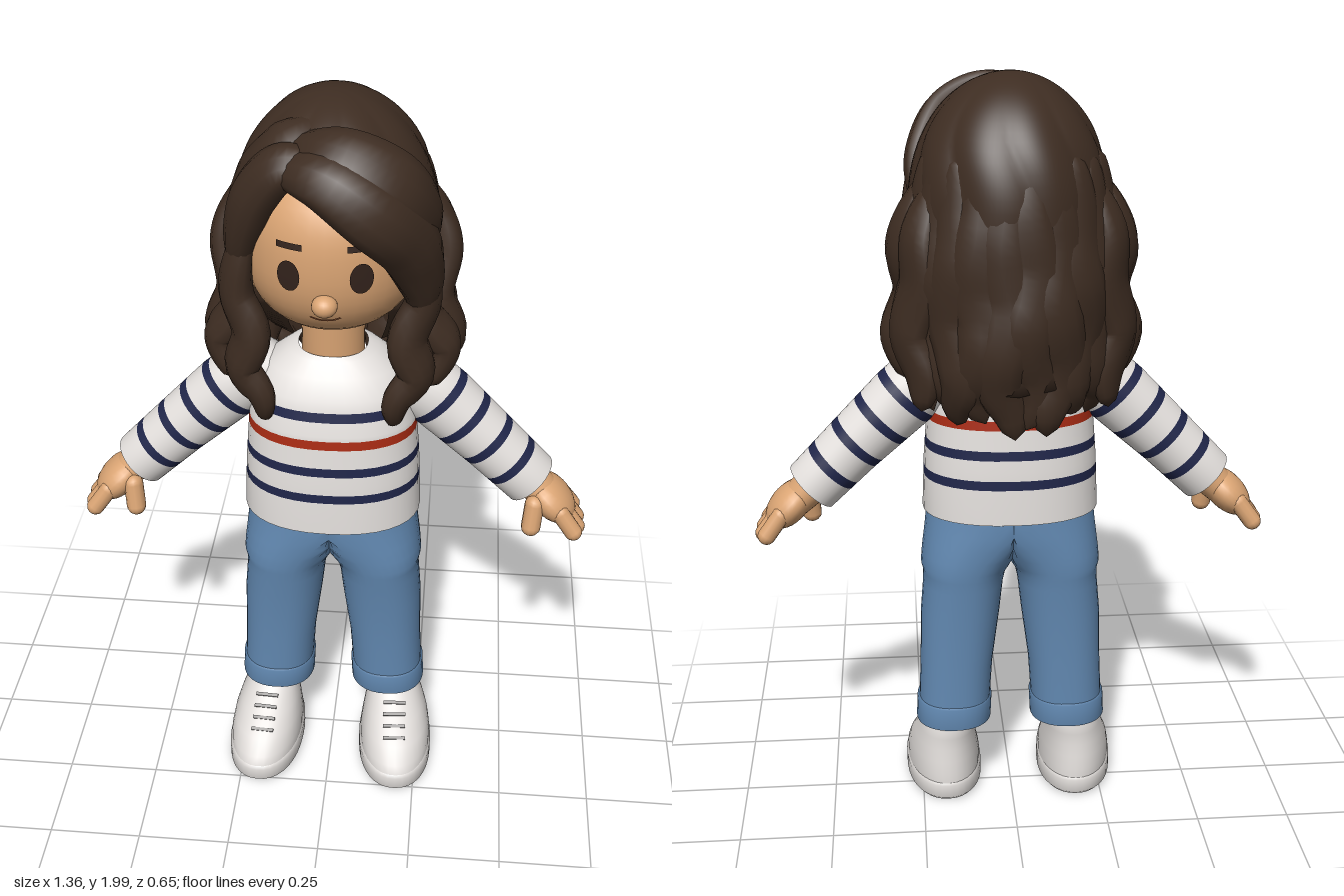
import * as THREE from 'three';

const material = (name, color) => {
  const m = new THREE.MeshStandardMaterial({ color });
  m.name = name;
  return m;
};
const V = (x, y, z) => new THREE.Vector3(x, y, z);

// Skin closed rings of points (counter-clockwise around the direction of travel)
function skin(rings, pick = () => 0) {
  const n = rings[0].length, pos = [], idx = [];
  const geo = new THREE.BufferGeometry();
  rings.forEach(r => r.forEach(p => pos.push(p.x, p.y, p.z)));
  for (let i = 0; i < rings.length - 1; i++) {
    geo.addGroup(idx.length, n * 6, pick(i));
    for (let j = 0; j < n; j++) {
      const a = i * n + j, b = i * n + (j + 1) % n;
      idx.push(a, b, a + n, b, b + n, a + n);
    }
  }
  geo.setAttribute('position', new THREE.Float32BufferAttribute(pos, 3));
  geo.setIndex(idx);
  geo.computeVertexNormals();
  return geo;
}

// Rounded horizontal sections [y, cx, cz, rx, rz], bottom to top; minX cuts them flat at a plane
function stack(sections, pick, power = 1, minX = -Infinity) {
  const n = 36, c = v => Math.sign(v) * Math.abs(v) ** power;
  return skin(sections.map(([y, cx, cz, rx, rz]) => Array.from({ length: n }, (_, j) => {
    const a = j / n * Math.PI * 2;
    return V(Math.max(minX, cx + rx * c(Math.cos(a))), y, cz - rz * c(Math.sin(a)));
  })), pick);
}

// Cut a section list at stripe edges; stripes are [middle y, material index]
function striped(sections, stripes, half, power) {
  const cuts = stripes.flatMap(([y]) => [y - half, y + half]);
  const rows = [...sections];
  for (const y of cuts) {
    const i = sections.findIndex(s => s[0] > y);
    const a = sections[i - 1], b = sections[i], t = (y - a[0]) / (b[0] - a[0]);
    rows.push(a.map((v, k) => v + (b[k] - v) * t));
  }
  rows.sort((a, b) => a[0] - b[0]);
  return stack(rows, i => {
    const mid = (rows[i][0] + rows[i + 1][0]) / 2;
    const hit = stripes.find(([y]) => Math.abs(mid - y) < half);
    return hit ? hit[1] : 0;
  }, power);
}

// Tapered strand following a smooth path, flattened against the head
function lock(points, w, h) {
  const curve = new THREE.CatmullRomCurve3(points.map(p => V(...p)));
  const steps = 28, n = 12, rings = [];
  for (let i = 0; i <= steps; i++) {
    const t = i / steps, c = curve.getPoint(t), tan = curve.getTangent(t);
    const out = V(c.x, Math.max(0, c.y - 1.66), c.z);
    out.addScaledVector(tan, -out.dot(tan)).normalize();
    const u = out.clone().cross(tan);
    const e = Math.max(0, Math.sin(Math.PI * t)) ** 0.42;
    rings.push(Array.from({ length: n }, (_, j) => {
      const a = j / n * Math.PI * 2;
      return c.clone().addScaledVector(u, w * e * Math.cos(a)).addScaledVector(out, h * e * Math.sin(a));
    }));
  }
  return skin(rings);
}

// Head profile, shared with the facial details laid on it
const headR = y => Math.max(0, 1 - Math.abs((y - 1.645) / 0.225) ** 2.4) ** (1 / 2.4);
const faceZ = (x, y) => 0.02 + 0.22 * Math.sqrt(Math.max(0, headR(y) ** 2 - (x / 0.22) ** 2));
function decal(geo, x, y) {
  geo.translate(x, y, 0);
  const p = geo.attributes.position;
  for (let i = 0; i < p.count; i++) p.setZ(i, faceZ(p.getX(i), p.getY(i)) + 0.004);
  geo.computeVertexNormals();
  return geo;
}

export function createModel() {
  const skinMat = material('skin', 0xdba574), hairMat = material('hair', 0x3e2d22);
  const knit = material('sweater white', 0xe6e2df), navy = material('navy stripe', 0x20264a);
  const red = material('red stripe', 0xab2c14), denim = material('denim', 0x638ab3);
  const shoeMat = material('shoe white', 0xdedad7), dark = material('eye brown', 0x33231c);
  const lip = material('lip', 0x8a4f30), grey = material('lace grey', 0x8b8886);

  const model = new THREE.Group();
  const add = (name, geo, mat, parent = model) => {
    const m = new THREE.Mesh(geo, mat);
    m.name = name;
    parent.add(m);
    return m;
  };
  const ball = (name, mat, p, s, parent) => {
    const m = add(name, new THREE.SphereGeometry(1, 24, 16), mat, parent);
    m.position.set(...p);
    m.scale.set(...s);
    return m;
  };

  // Sweater body and neck
  add('sweaterBody', striped([
    [0.855, 0, 0.015, 0.001, 0.001], [0.855, 0, 0.015, 0.232, 0.17], [0.856, 0, 0.015, 0.235, 0.172],
    [1.0, 0, 0.015, 0.229, 0.168], [1.15, 0, 0.015, 0.217, 0.158], [1.24, 0, 0.01, 0.2, 0.142],
    [1.29, 0, 0.005, 0.165, 0.122], [1.325, 0, 0, 0.115, 0.098], [1.335, 0, 0, 0.088, 0.086],
  ], [[0.965, 1], [1.045, 1], [1.125, 2], [1.2, 1]], 0.0125, 0.88), [knit, navy, red]);
  add('neck', stack([[1.27, 0, 0, 0.08, 0.08], [1.48, 0, 0.01, 0.08, 0.08]]), skinMat);

  for (const side of [1, -1]) {
    const half = new THREE.Group();
    half.name = side > 0 ? 'leftLimbs' : 'rightLimbs';
    half.scale.x = side;
    model.add(half);

    // Trouser half, cut at the middle so both halves join at the seat, with a turned-up cuff
    add('trouserLeg', stack([
      [0.225, 0.16, 0, 0.098, 0.098], [0.4, 0.15, 0.003, 0.1, 0.103], [0.55, 0.138, 0.007, 0.108, 0.116],
      [0.64, 0.129, 0.01, 0.109, 0.127], [0.675, 0.125, 0.011, 0.113, 0.132], [0.695, 0.121, 0.011, 0.122, 0.135],
      [0.73, 0.105, 0.011, 0.135, 0.138], [0.77, 0.075, 0.011, 0.16, 0.141], [0.81, 0.035, 0.011, 0.195, 0.145],
      [0.85, 0.005, 0.012, 0.221, 0.147], [0.875, 0, 0.012, 0.224, 0.147],
    ], undefined, 0.88, 0), denim, half);
    add('trouserCuff', stack([
      [0.24, 0.16, 0, 0.06, 0.06], [0.22, 0.16, 0, 0.095, 0.095], [0.222, 0.16, 0, 0.104, 0.104],
      [0.285, 0.157, 0.001, 0.104, 0.106], [0.29, 0.157, 0.001, 0.096, 0.098],
    ], undefined, 0.9), denim, half);
    add('ankle', stack([[0.14, 0.17, -0.01, 0.06, 0.065], [0.25, 0.165, -0.005, 0.062, 0.065]]), skinMat, half);

    // Shoe
    const shoe = new THREE.Group();
    shoe.name = 'shoe';
    shoe.position.x = 0.184;
    shoe.rotation.y = 0.06;
    half.add(shoe);
    add('sole', stack([
      [0, 0, 0.08, 0.001, 0.001], [0, 0, 0.08, 0.095, 0.178], [0, 0, 0.08, 0.095, 0.178],
      [0.012, 0, 0.08, 0.105, 0.19], [0.048, 0, 0.08, 0.105, 0.19], [0.055, 0, 0.08, 0.098, 0.182],
    ], undefined, 0.9), shoeMat, shoe);
    add('upper', stack([
      [0.05, 0, 0.08, 0.101, 0.184], [0.08, 0, 0.075, 0.101, 0.177], [0.115, 0, 0.058, 0.095, 0.153],
      [0.15, -0.002, 0.032, 0.085, 0.122], [0.182, -0.005, 0.007, 0.074, 0.093], [0.21, -0.008, -0.01, 0.066, 0.079],
      [0.213, -0.008, -0.01, 0.058, 0.07], [0.17, -0.008, -0.01, 0.05, 0.055],
    ], undefined, 0.94), shoeMat, shoe);
    for (let i = 0; i < 4; i++) {
      const lace = add('lace', new THREE.BoxGeometry(0.064, 0.007, 0.009), grey, shoe);
      lace.position.set(-0.004, 0.185 - i * 0.0185, 0.1 + i * 0.029);
      lace.rotation.x = 0.6;
    }

    // Arm: the sleeve hangs along -y of a tilted group
    const arm = new THREE.Group();
    arm.name = 'arm';
    arm.position.set(0.2, 1.255, -0.015);
    arm.rotation.z = Math.PI / 4;
    half.add(arm);
    add('sleeve', striped([
      [-0.462, 0, 0, 0.05, 0.05], [-0.461, 0, 0, 0.07, 0.072], [-0.46, 0, 0, 0.076, 0.079], [-0.3, 0, 0, 0.081, 0.081],
      [-0.12, -0.004, 0, 0.09, 0.084], [0, -0.012, 0.005, 0.09, 0.088], [0.05, -0.03, 0.005, 0.065, 0.07],
      [0.075, -0.04, 0.005, 0.001, 0.001],
    ], [[-0.375, 1], [-0.285, 1], [-0.195, 1], [-0.105, 1]], 0.0125), [knit, navy], arm);

    // Hand
    add('wrist', stack([[-0.53, 0.002, 0.01, 0.044, 0.06], [-0.43, 0, 0, 0.05, 0.055]]), skinMat, arm);
    ball('palm', skinMat, [0.006, -0.54, 0.01], [0.048, 0.08, 0.08], arm);
    [-0.06, -0.018, 0.025, 0.064].forEach((z, i) => {
      const finger = add('finger', new THREE.CapsuleGeometry(0.024, 0.065, 6, 12), skinMat, arm);
      finger.position.set(0.008, -0.596 - (i === 1 || i === 2 ? 0.014 : 0), z + 0.008);
      finger.rotation.set(-z * 2, 0, -0.15);
    });
    const thumb = add('thumb', new THREE.CapsuleGeometry(0.026, 0.065, 6, 12), skinMat, arm);
    thumb.position.set(-0.045, -0.52, 0.07);
    thumb.rotation.set(-0.3, 0, -0.85);

    // Ear and earring
    ball('ear', skinMat, [0.228, 1.605, 0.045], [0.028, 0.068, 0.042], half);
    ball('earring', dark, [0.238, 1.545, 0.06], [0.011, 0.014, 0.011], half);

    // Eye and eyebrow
    add('eye', decal(new THREE.CircleGeometry(1, 28).scale(0.027, 0.039, 1), 0.085, 1.63), dark, half);
    add('eyebrow', decal(new THREE.PlaneGeometry(0.062, 0.015, 8, 1), 0.083, 1.705), dark, half);

    // Front and side strands
    [
      ['frontLock', 0.06, 0.045, [0.18, 1.75, 0.13], [0.215, 1.62, 0.125], [0.225, 1.52, 0.115], [0.19, 1.42, 0.13],
        [0.215, 1.32, 0.125], [0.17, 1.25, 0.14], [0.165, 1.165, 0.12]],
      ['lowerLock', 0.06, 0.045, [0.22, 1.52, 0.03], [0.235, 1.44, 0.05], [0.28, 1.36, 0.045], [0.25, 1.26, 0.08]],
      ['sideLock', 0.07, 0.05, [0.2, 1.76, -0.07], [0.245, 1.66, -0.09], [0.265, 1.57, -0.08], [0.25, 1.46, -0.05],
        [0.295, 1.35, -0.05], [0.27, 1.24, -0.08]],
      ['rearSideLock', 0.075, 0.045, [0.19, 1.75, -0.14], [0.235, 1.62, -0.15], [0.23, 1.5, -0.15], [0.26, 1.37, -0.13],
        [0.23, 1.27, -0.16], [0.235, 1.18, -0.17]],
    ].forEach(([name, w, h, ...pts]) => add(name, lock(pts, w, h), hairMat, half));
  }

  // Head and face
  const headRows = Array.from({ length: 25 }, (_, i) => {
    const y = 1.645 - 0.225 * Math.cos(i / 24 * Math.PI), r = Math.max(0.001, headR(y)) * 0.22;
    return [y, 0, 0.02, r, r];
  });
  add('head', stack(headRows), skinMat);
  ball('nose', skinMat, [0, 1.562, 0.24], [0.031, 0.027, 0.03]);
  add('mouth', decal(new THREE.RingGeometry(0.064, 0.07, 20, 1, Math.PI * 1.32, Math.PI * 0.36), 0, 1.578), lip);

  // Hair cap: rim height depends on the angle from the front, with wavy ridges
  const rimKeys = [[0, 1.85], [0.5, 1.83], [0.9, 1.74], [1.35, 1.68], [1.65, 1.42], [2.2, 1.28], [3.15, 1.25]];
  const rim = a => {
    const i = rimKeys.findIndex(k => k[0] > a), [a0, y0] = rimKeys[i - 1], [a1, y1] = rimKeys[i];
    return y0 + (y1 - y0) * (a - a0) / (a1 - a0);
  };
  const capPoint = (phi, s, shrink = 1) => {
    const away = Math.min(phi, Math.PI * 2 - phi);
    const y = 1.992 - (1.992 - rim(away)) * s * s;
    const up = Math.max(0, (y - 1.66) / 0.332);
    const ridge = 1 + 0.045 * Math.abs(Math.cos(4.5 * phi + 0.6 * Math.sin(y * 14))) * Math.min(1, s * 2);
    const r = Math.sqrt(Math.max(0, 1 - up ** 2.2)) * ridge * shrink;
    const bulge = 0.27 + 0.035 * Math.max(0, Math.cos(phi - 0.4));
    const front = Math.cos(phi) > 0, x = Math.sin(phi);
    return V(x * (x > 0 ? 0.245 : 0.235) * r, y, -0.02 + Math.cos(phi) * (front ? bulge : 0.265) * r);
  };
  const capRings = [[1, 0.55], ...Array.from({ length: 31 }, (_, i) => [1 - i / 30, 1])].map(([s, k]) =>
    Array.from({ length: 120 }, (_, j) => capPoint(j / 120 * Math.PI * 2, s, k)));
  add('hairCap', skin(capRings), hairMat);

  // Swept fringe from the parting
  [
    [0.085, 0.062, [-0.12, 1.87, 0.17], [0, 1.88, 0.25], [0.11, 1.81, 0.26], [0.185, 1.71, 0.19], [0.22, 1.59, 0.13], [0.23, 1.48, 0.11]],
    [0.085, 0.05, [-0.1, 1.9, 0.12], [0.03, 1.92, 0.21], [0.15, 1.86, 0.21], [0.215, 1.76, 0.14], [0.235, 1.66, 0.07]],
    [0.065, 0.05, [0, 1.88, 0.2], [-0.09, 1.885, 0.19], [-0.16, 1.81, 0.16], [-0.2, 1.71, 0.135], [-0.225, 1.58, 0.11]],
    [0.075, 0.04, [-0.02, 1.95, 0.08], [-0.1, 1.91, 0.12], [-0.175, 1.82, 0.08], [-0.22, 1.7, 0.02], [-0.25, 1.58, -0.05]],
  ].forEach(([w, h, ...pts]) => add('fringeLock', lock(pts, w, h), hairMat));

  // Wavy strands down the back
  const count = 10;
  for (let i = 0; i < count; i++) {
    const phi = 1.95 + (Math.PI * 2 - 3.9) * i / (count - 1);
    const end = 1.125 + (i % 2) * 0.03 + 0.05 * Math.sin(phi) ** 2;
    const pts = Array.from({ length: 11 }, (_, k) => {
      const t = k / 10, y = 1.82 + (end - 1.82) * t;
      const p = phi + 0.11 * t * Math.sin(t * 14 + i * 1.7);
      const r = 0.87 + 0.12 * Math.sin(Math.min(1, t * 1.4) * Math.PI / 2) + 0.045 * t * Math.sin(t * 15 + i) - 0.1 * t ** 6;
      return [Math.sin(p) * 0.25 * r, y, -0.02 + Math.cos(p) * 0.26 * r];
    });
    add('backLock', lock(pts, 0.075, 0.042), hairMat);
  }
  return model;
}
